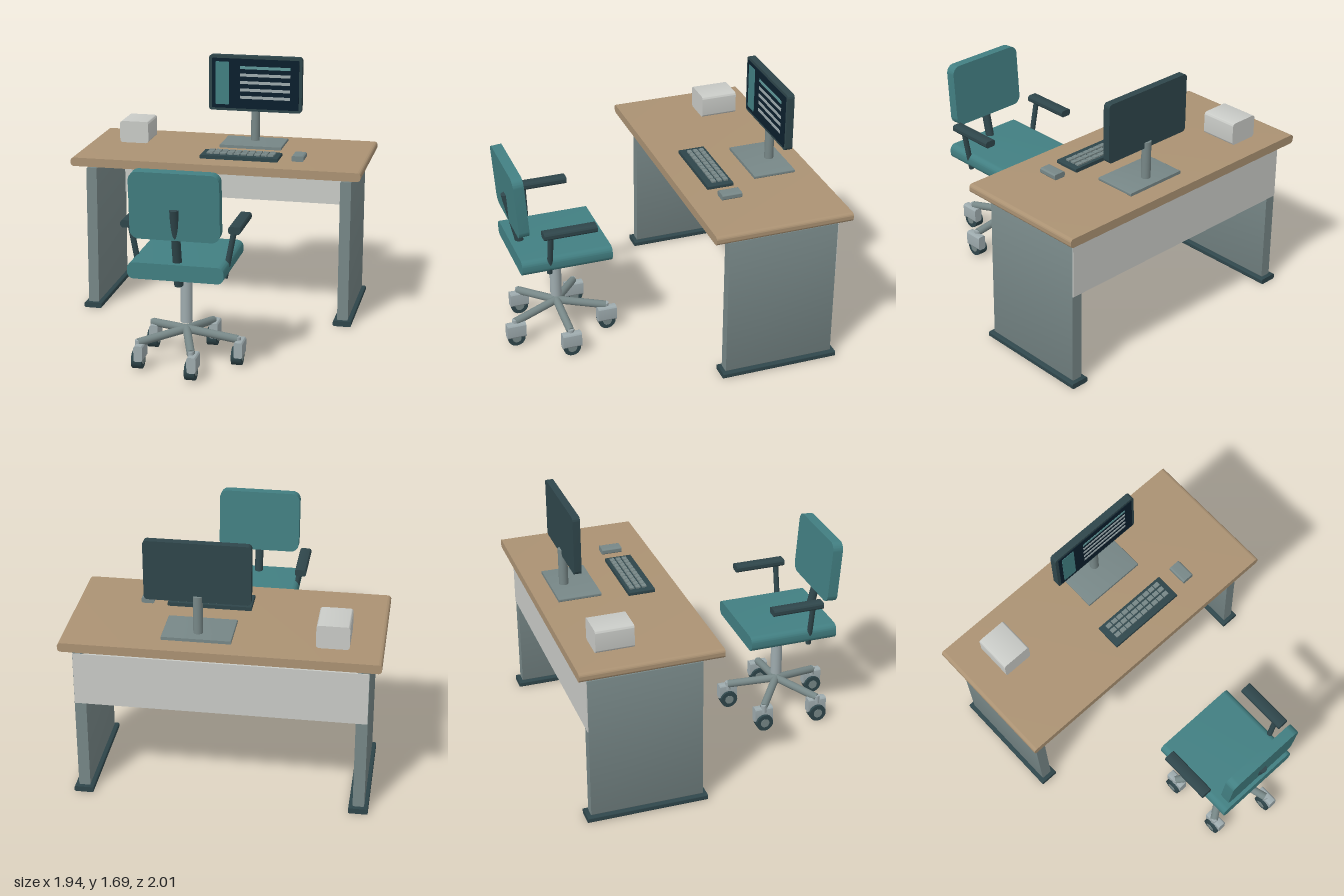
import * as THREE from 'three';
import { toCreasedNormals } from 'three/addons/utils/BufferGeometryUtils.js';

const mat = (name, color) => {
  const m = new THREE.MeshStandardMaterial({ color });
  m.name = name;
  return m;
};

export function createModel() {
  const wood = mat('wood', 0xab9273);
  const dark = mat('dark plastic', 0x2f464b);
  const grey = mat('grey metal', 0x778787);
  const pale = mat('pale grey', 0xc9cbc7);
  const silver = mat('silver metal', 0x9eabae);
  const teal = mat('teal fabric', 0x427f82);
  const navy = mat('screen navy', 0x0b1f2d);
  const aqua = mat('aqua', 0x5f9899);

  const model = new THREE.Group();
  model.name = 'deskAndChair';
  const group = (name, parent = model) => {
    const g = new THREE.Group();
    g.name = name;
    parent.add(g);
    return g;
  };
  const add = (parent, name, geo, material, x = 0, y = 0, z = 0) => {
    const m = new THREE.Mesh(geo, material);
    m.name = name;
    m.position.set(x, y, z);
    parent.add(m);
    return m;
  };

  // Block given by its limits, with corners rounded in the xy plane
  const block = (parent, name, material, [x0, x1], [y0, y1], [z0, z1], r = 0) => {
    const w = x1 - x0, h = y1 - y0, d = z1 - z0, a = w / 2, b = h / 2;
    let geo;
    if (r > 0) {
      const s = new THREE.Shape();
      s.moveTo(-a + r, -b);
      s.absarc(a - r, -b + r, r, -Math.PI / 2, 0);
      s.absarc(a - r, b - r, r, 0, Math.PI / 2);
      s.absarc(-a + r, b - r, r, Math.PI / 2, Math.PI);
      s.absarc(-a + r, -b + r, r, Math.PI, Math.PI * 1.5);
      geo = new THREE.ExtrudeGeometry(s, { depth: d, bevelEnabled: false, curveSegments: 6 });
      geo.translate(0, 0, -d / 2);
      geo = toCreasedNormals(geo, 0.6);
    } else {
      geo = new THREE.BoxGeometry(w, h, d);
    }
    return add(parent, name, geo, material, (x0 + x1) / 2, (y0 + y1) / 2, (z0 + z1) / 2);
  };

  // Cylinder between two points
  const rod = (parent, name, material, from, to, r) => {
    const a = new THREE.Vector3(...from), b = new THREE.Vector3(...to);
    const dir = b.clone().sub(a);
    const m = add(parent, name, new THREE.CylinderGeometry(r, r, dir.length(), 20), material);
    m.position.copy(a).add(b).multiplyScalar(0.5);
    m.quaternion.setFromUnitVectors(new THREE.Vector3(0, 1, 0), dir.normalize());
    return m;
  };

  // Desk
  const desk = group('desk');
  block(desk, 'deskTop', wood, [-0.97, 0.97], [1.022, 1.08], [-1, -0.1], 0.022);
  block(desk, 'backPanel', pale, [-0.895, 0.895], [0.635, 0.98], [-0.94, -0.915]);
  for (const s of [-1, 1]) {
    const c = s * 0.861;
    block(desk, 'sidePanel', grey, [c - 0.036, c + 0.036], [0.035, 0.986], [-0.935, -0.213], 0.01);
    block(desk, 'deskFoot', dark, [c - 0.061, c + 0.061], [0, 0.036], [-0.963, -0.187], 0.01);
  }
  block(desk, 'storageBox', pale, [-0.767, -0.566], [1.08, 1.23], [-0.841, -0.598], 0.02);

  // Monitor with its stand
  const monitor = group('monitor');
  block(monitor, 'monitorBase', grey, [-0.063, 0.365], [1.08, 1.1], [-0.873, -0.595], 0.006);
  rod(monitor, 'monitorPost', grey, [0.15, 1.1, -0.783], [0.15, 1.345, -0.783], 0.03);
  block(monitor, 'monitorCase', dark, [-0.172, 0.475], [1.307, 1.69], [-0.795, -0.748], 0.024);
  block(monitor, 'screen', navy, [-0.15, 0.455], [1.325, 1.67], [-0.75, -0.744], 0.006);
  block(monitor, 'screenSidebar', teal, [-0.125, -0.03], [1.35, 1.647], [-0.746, -0.741], 0.006);
  for (let i = 0; i < 5; i++) {
    const y = 1.61 - i * 0.0515;
    block(monitor, 'screenLine', i ? silver : aqua, [0.047, 0.395], [y - 0.01, y + 0.01], [-0.746, -0.741]);
  }

  // Keyboard and mouse
  const keyboard = group('keyboard');
  block(keyboard, 'keyboardBody', dark, [-0.127, 0.402], [1.08, 1.105], [-0.434, -0.262], 0.008);
  for (let row = 0; row < 3; row++) {
    for (let col = 0; col < 10; col++) {
      const x = -0.067 + col * 0.0458, z = -0.4 + row * 0.041;
      block(keyboard, 'key', grey, [x - 0.019, x + 0.019], [1.103, 1.115], [z - 0.014, z + 0.014]);
    }
  }
  block(model, 'mouse', grey, [0.487, 0.569], [1.085, 1.122], [-0.426, -0.294], 0.012);

  // Chair seat and backrest
  const chair = group('chair');
  block(chair, 'seat', teal, [-0.298, 0.298], [0.618, 0.72], [0.336, 0.93], 0.04);
  const back = block(chair, 'backrest', teal, [-0.277, 0.277], [0.874, 1.296], [0.88, 0.948], 0.055);
  back.rotation.x = 0.076;
  rod(chair, 'backPost', dark, [0, 0.562, 0.832], [0, 1.068, 0.946], 0.028);

  // Armrests
  for (const s of [-1, 1]) {
    const c = s * 0.335;
    block(chair, 'armPad', dark, [c - 0.038, c + 0.038], [0.895, 0.941], [0.456, 0.8], 0.016);
    rod(chair, 'armPost', dark, [s * 0.267, 0.602, 0.746], [s * 0.325, 0.91, 0.746], 0.018);
  }

  // Gas column and five-legged base
  const cz = 0.635;
  rod(chair, 'gasColumn', silver, [0, 0.26, cz], [0, 0.61, cz], 0.038);
  for (let i = 0; i < 5; i++) {
    const a = (i * Math.PI * 2) / 5;
    const x = 0.325 * Math.cos(a), z = cz + 0.325 * Math.sin(a);
    rod(chair, 'baseLeg', grey, [0, 0.213, cz], [x, 0.168, z], 0.026);

    // Caster: all wheels roll along z
    const caster = group('caster', chair);
    rod(caster, 'casterStem', silver, [x, 0.13, z], [x, 0.185, z], 0.02);
    block(caster, 'casterHousing', silver, [x - 0.014, x + 0.042], [0.064, 0.165], [z - 0.063, z + 0.063], 0.014);
    rod(caster, 'wheel', dark, [x - 0.032, 0.06, z], [x + 0.032, 0.06, z], 0.058);
    rod(caster, 'wheelHub', grey, [x - 0.035, 0.06, z], [x + 0.036, 0.06, z], 0.03);
  }
  return model;
}
